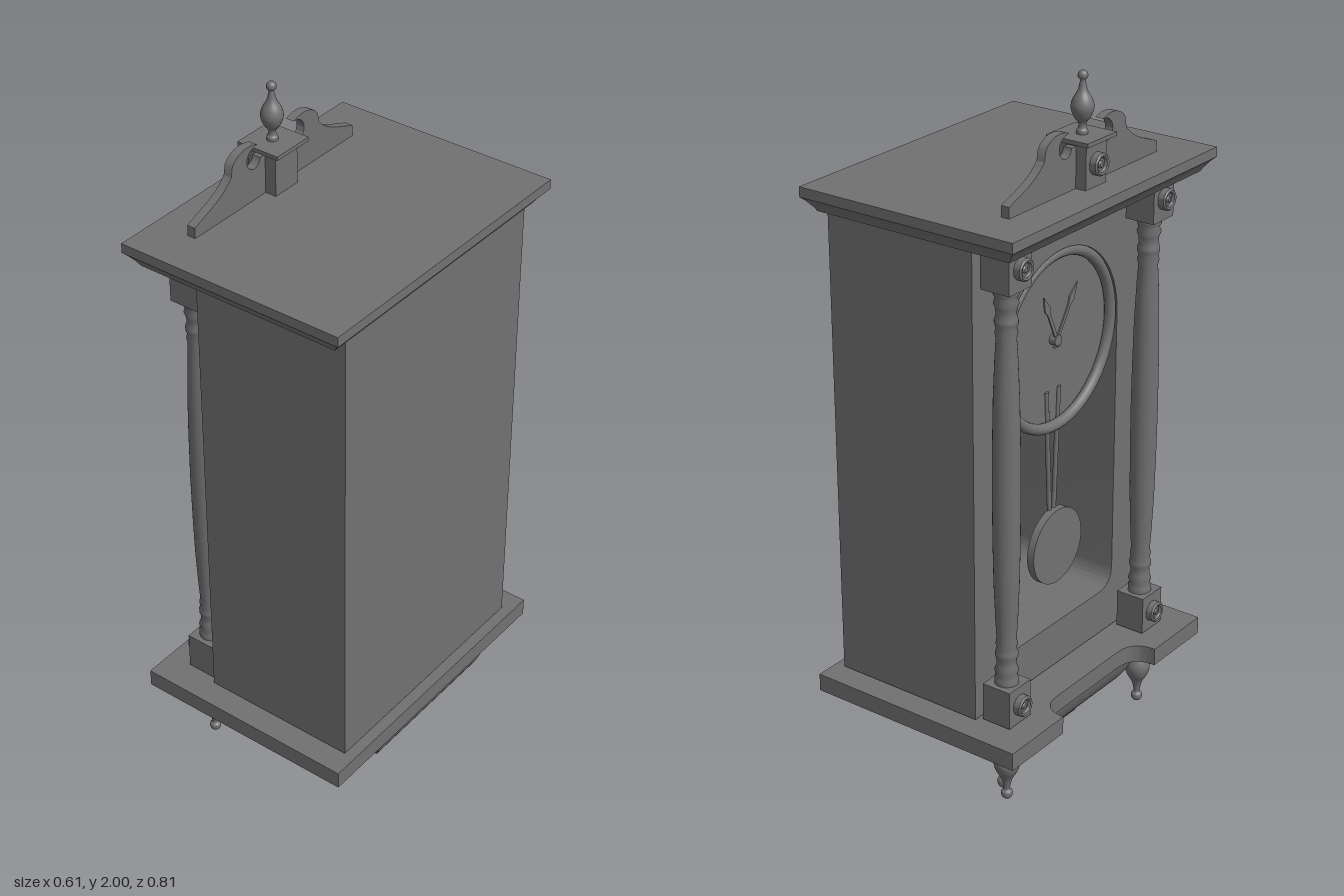
import * as THREE from 'three';
import { toCreasedNormals } from 'three/addons/utils/BufferGeometryUtils.js';

const material = new THREE.MeshStandardMaterial({ color: 0x717171, side: THREE.DoubleSide });

export function createModel() {
  // Built facing +z, then turned so that the dial looks towards -x.
  const clock = new THREE.Group();
  clock.name = 'wallClock';

  const add = (name, geo, x = 0, y = 0, z = 0) => {
    const m = new THREE.Mesh(geo, material);
    m.name = name;
    m.position.set(x, y, z);
    clock.add(m);
    return m;
  };
  const box = (name, w, h, d, x, y, z) => add(name, new THREE.BoxGeometry(w, h, d), x, y, z);
  const extrude = (shape, depth) => toCreasedNormals(
    new THREE.ExtrudeGeometry(shape, { depth, bevelEnabled: false, curveSegments: 24 }), 0.5);
  const toPoints = pts => pts.map(([r, y]) => new THREE.Vector2(r, y));
  const lathe = pts => new THREE.LatheGeometry(toPoints(pts), 28);
  const disc = (r, d) => new THREE.CylinderGeometry(r, r, d, 48).rotateX(Math.PI / 2);

  // Rectangular moulding from rings [halfWidth, halfDepth, y], bottom to top
  const moulding = rings => {
    const pos = [], idx = [];
    rings.forEach(([w, d, y]) => pos.push(-w, y, d, w, y, d, w, y, -d, -w, y, -d));
    for (let i = 0; i < rings.length - 1; i++)
      for (let k = 0; k < 4; k++) {
        const a = i * 4 + k, b = i * 4 + (k + 1) % 4;
        idx.push(a, b, b + 4, a, b + 4, a + 4);
      }
    const t = (rings.length - 1) * 4;
    idx.push(0, 2, 1, 0, 3, 2, t, t + 1, t + 2, t, t + 2, t + 3);
    const g = new THREE.BufferGeometry();
    g.setAttribute('position', new THREE.Float32BufferAttribute(pos, 3));
    g.setIndex(idx);
    return toCreasedNormals(g, 0.5);
  };

  // Turned finial, tip at the top, scaled to height h and bulge radius r
  const finial = (h, r) => {
    const curve = new THREE.SplineCurve(toPoints([
      [0.5, 0], [0.5, 0.06], [0.36, 0.1], [0.36, 0.18], [0.75, 0.28], [1, 0.42], [0.85, 0.55],
      [0.45, 0.68], [0.27, 0.8], [0.25, 0.86], [0.42, 0.89], [0.42, 0.95], [0.25, 0.99], [0, 1],
    ].map(([a, b]) => [a * r, b * h])));
    return new THREE.LatheGeometry(curve.getPoints(60).map(p => p.setX(Math.max(0, p.x))), 28);
  };

  // Case: arched opening in front, solid back
  const caseShape = new THREE.Shape();
  caseShape.moveTo(-0.342, 0.45).lineTo(0.342, 0.45).lineTo(0.342, 1.68).lineTo(-0.342, 1.68).closePath();
  const R = 0.232, dialY = 1.33, sill = 0.57, c = 0.06;
  const opening = new THREE.Path();
  opening.moveTo(-R + c, sill);
  opening.lineTo(R - c, sill);
  opening.quadraticCurveTo(R, sill, R, sill + c);
  opening.lineTo(R, dialY);
  opening.absarc(0, dialY, R, 0, Math.PI, false);
  opening.lineTo(-R, sill + c);
  opening.quadraticCurveTo(-R, sill, -R + c, sill);
  caseShape.holes.push(opening);
  add('caseBody', extrude(caseShape, 0.3), 0, 0, -0.157);
  box('caseBack', 0.684, 1.23, 0.118, 0, 1.065, -0.216);

  // Dial, bezel and hands
  add('dial', disc(0.222, 0.015), 0, dialY, 0.11);
  add('bezel', new THREE.TorusGeometry(0.22, 0.014, 12, 64), 0, dialY, 0.13);
  add('handHub', disc(0.014, 0.02), 0, dialY, 0.125);
  [[0.08, 0.125, 'minuteHand'], [-0.055, 0.125, 'hourHand']].forEach(([dx, dy, name]) => {
    const len = Math.hypot(dx, dy);
    const s = new THREE.Shape();
    s.moveTo(-0.005, -0.02).lineTo(0.005, -0.02).lineTo(0.005, len * 0.6)
      .lineTo(0.011, len * 0.72).lineTo(0, len).lineTo(-0.011, len * 0.72).lineTo(-0.005, len * 0.6);
    add(name, extrude(s, 0.004), 0, dialY, 0.128).rotation.z = -Math.atan2(dx, dy);
  });

  // Pendulum: two rods drawing together towards the bob
  add('pendulumBob', disc(0.1, 0.02), 0, 0.78, 0.128);
  [-1, 1].forEach(s => {
    add('pendulumRod', new THREE.CylinderGeometry(0.006, 0.006, 0.36, 10), s * 0.016, 1.02, 0.118).rotation.z = -s * 0.05;
  });

  // Cornice and scalloped base shelf
  add('cornice', moulding([[0.378, 0.274, 1.675], [0.383, 0.281, 1.685], [0.395, 0.292, 1.7],
    [0.405, 0.303, 1.71], [0.405, 0.303, 1.735]]));
  const shelf = new THREE.Shape();
  shelf.moveTo(-0.405, 0.303);
  shelf.lineTo(-0.405, -0.303);
  shelf.lineTo(-0.2, -0.303);
  shelf.bezierCurveTo(-0.2, -0.26, -0.18, -0.235, -0.13, -0.235);
  shelf.lineTo(0.13, -0.235);
  shelf.bezierCurveTo(0.18, -0.235, 0.2, -0.26, 0.2, -0.303);
  shelf.lineTo(0.405, -0.303);
  shelf.lineTo(0.405, 0.303);
  add('baseShelf', extrude(shelf, 0.047), 0, 0.4, 0).rotation.x = -Math.PI / 2;

  // Bowl-shaped underside with its foot and drop
  const bowl = [];
  for (let i = 0; i <= 14; i++) {
    const a = (i / 14) * 1.3, e = Math.sin(a) / Math.sin(1.3);
    const t = (1 - Math.cos(a)) / (1 - Math.cos(1.3));
    bowl.push([0.11 + 0.12 * e, 0.14 + 0.122 * e, 0.28 + 0.121 * t]);
  }
  add('bowl', moulding(bowl), 0, 0, -0.035);
  add('bowlFoot', moulding([[0.123, 0.143, 0.23], [0.137, 0.157, 0.255], [0.123, 0.143, 0.281]]), 0, 0, -0.035);
  add('centreDrop', finial(0.23, 0.039), 0, 0.232, -0.03).rotation.x = Math.PI;

  // Rosette: dished disc on the front of a block
  const rosette = (x, y) => add('rosette', toCreasedNormals(lathe([[0.027, 0], [0.027, 0.016], [0.023, 0.02],
    [0.018, 0.018], [0.015, 0.012], [0.009, 0.012], [0.006, 0.016], [0, 0.017]]), 0.6).rotateX(Math.PI / 2), x, y, 0.235);

  // Turned half of the column; the other half mirrors it
  const half = [[0.03, 0.55], [0.03, 0.565], [0.025, 0.572], [0.03, 0.585], [0.025, 0.598], [0.024, 0.615],
    [0.028, 0.625], [0.028, 0.635], [0.024, 0.645], [0.027, 0.658], [0.024, 0.67], [0.027, 0.72],
    [0.031, 0.82], [0.033, 0.93], [0.034, 1.06]];
  const column = half.concat(half.slice(0, -1).reverse().map(([r, y]) => [r, 2.12 - y]));
  [-0.285, 0.285].forEach(x => {
    add('column', lathe(column), x, 0, 0.195);
    box('columnBase', 0.085, 0.1, 0.08, x, 0.5, 0.195);
    box('columnCapital', 0.085, 0.11, 0.08, x, 1.625, 0.195);
    rosette(x, 0.5);
    rosette(x, 1.625);
    add('cornerDrop', finial(0.187, 0.033), x, 0.402, 0.195).rotation.x = Math.PI;
  });

  // Swan-neck pediment, drawn once and mirrored
  [-1, 1].forEach(s => {
    const n = new THREE.Shape();
    n.moveTo(s * 0.03, 1.735);
    n.lineTo(s * 0.29, 1.735);
    n.lineTo(s * 0.29, 1.762);
    n.bezierCurveTo(s * 0.23, 1.785, s * 0.19, 1.795, s * 0.16, 1.83);
    n.lineTo(s * 0.155, 1.855);
    n.bezierCurveTo(s * 0.14, 1.878, s * 0.1, 1.888, s * 0.066, 1.872);
    n.quadraticCurveTo(s * 0.085, 1.872, s * 0.095, 1.862);
    n.bezierCurveTo(s * 0.118, 1.84, s * 0.095, 1.81, s * 0.072, 1.816);
    n.quadraticCurveTo(s * 0.06, 1.82, s * 0.057, 1.835);
    n.lineTo(s * 0.03, 1.835);
    add('pedimentScroll', extrude(n, 0.022), 0, 0, 0.185);
  });
  box('pedimentBlock', 0.08, 0.11, 0.08, 0, 1.79, 0.195);
  box('pedimentCap', 0.114, 0.01, 0.116, 0, 1.848, 0.193);
  rosette(0, 1.79);
  add('topFinial', finial(0.148, 0.027), 0, 1.852, 0.195);

  clock.rotation.y = -Math.PI / 2;
  const model = new THREE.Group();
  model.name = 'pendulumClock';
  model.add(clock);
  return model;
}
